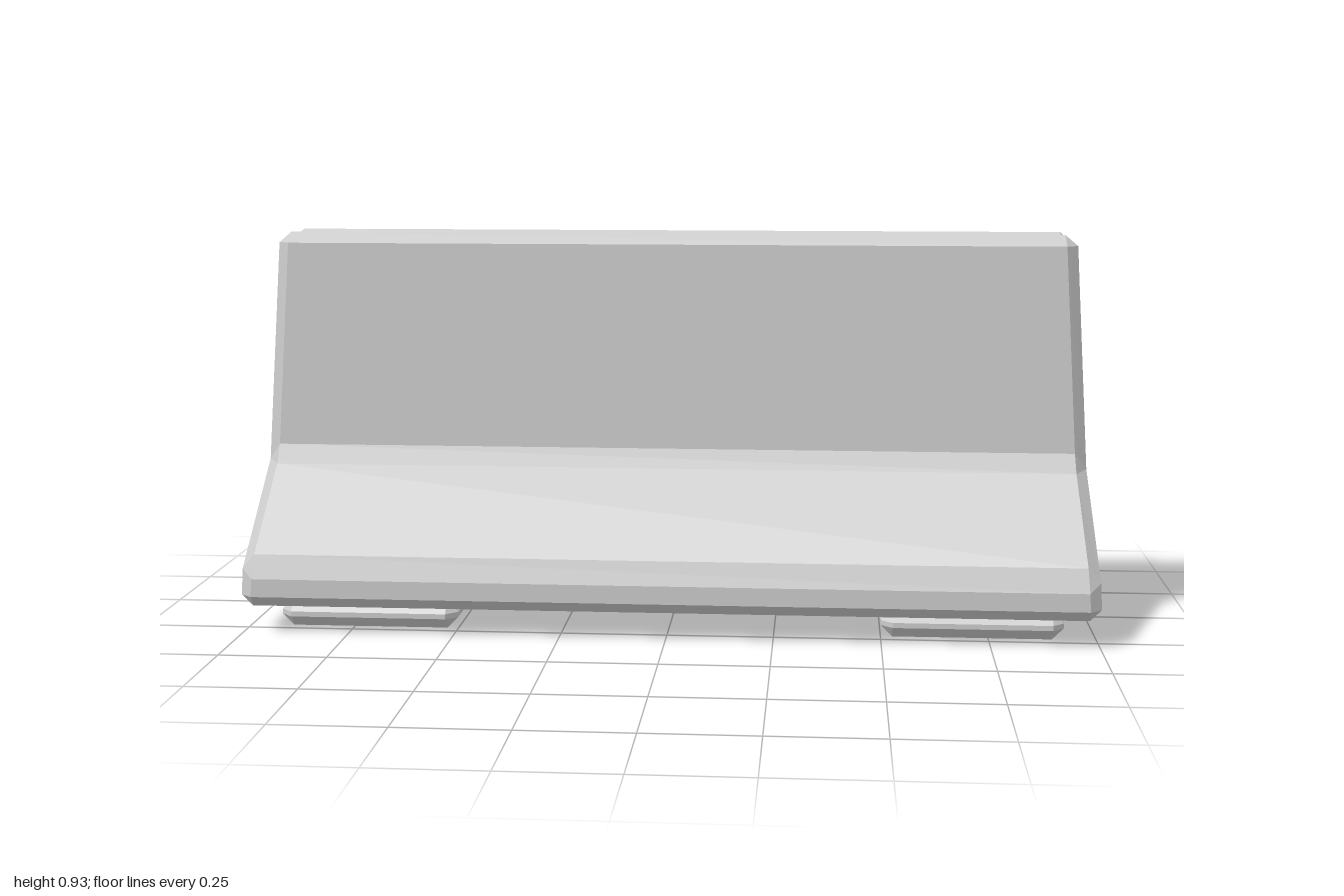
import * as THREE from 'three';

const material = new THREE.MeshStandardMaterial({ color: 0xcccccc, flatShading: true });
const v = (x, y, z) => new THREE.Vector3(x, y, z);

// Faces between matching rings (counter-clockwise seen from the last ring), with optional end caps
function loft(name, rings, caps = false) {
  const out = [];
  const tri = (a, b, c) => {
    if (new THREE.Triangle(a, b, c).getArea() < 1e-7) return;
    for (const p of [a, b, c]) out.push(p.x, p.y, p.z);
  };
  const n = rings[0].length;
  for (let r = 0; r < rings.length - 1; r++) {
    for (let i = 0; i < n; i++) {
      const j = (i + 1) % n, lo = rings[r], hi = rings[r + 1];
      tri(lo[i], lo[j], hi[j]);
      tri(lo[i], hi[j], hi[i]);
    }
  }
  if (caps) {
    const first = rings[0], last = rings[rings.length - 1];
    for (let i = 1; i < n - 1; i++) {
      tri(first[0], first[i + 1], first[i]);
      tri(last[0], last[i], last[i + 1]);
    }
  }
  const geometry = new THREE.BufferGeometry();
  geometry.setAttribute('position', new THREE.Float32BufferAttribute(out, 3));
  geometry.computeVertexNormals();
  return named(name, geometry);
}

function named(name, geometry) {
  const mesh = new THREE.Mesh(geometry, material);
  mesh.name = name;
  return mesh;
}

// Half cross-sections as [z, y], from the base up to the groove
const outer = [[0.30, 0.066], [0.325, 0.092], [0.325, 0.135], [0.305, 0.19], [0.125, 0.375],
  [0.106, 0.42], [0.087, 0.905], [0.059, 0.93], [0.032, 0.905], [0.007, 0.87]];
const inset = [[0.30, 0.092], [0.30, 0.092], [0.30, 0.155], [0.30, 0.155], [0.083, 0.38],
  [0.083, 0.38], [0.061, 0.905], [0.061, 0.905], [0.061, 0.905], [0.056, 0.845]];

const bevel = 0.028;
const endX = (y) => 1 - 0.05 * (y - 0.092) / 0.813; // sloping end plane

const mirrored = (half) => [...half.map(([z, y]) => [-z, y]), ...half.slice().reverse()];
const section = (half, side, inward) =>
  mirrored(half).map(([z, y]) => v(side * (endX(y) - inward), y, z));

// Octagonal through-hole with a square flared mouth
const holeY = 0.431, mouth = 0.065, mouthX = endX(holeY) - 0.06;
const octagon = Array.from({ length: 8 }, (_, i) => {
  const t = (i + 0.5) * Math.PI / 4;
  return [-0.039 * Math.cos(t), holeY + 0.043 * Math.sin(t)];
});
const square = octagon.map(([z, y]) => [Math.sign(z) * mouth, holeY + Math.sign(y - holeY) * mouth]);

function createEnd(name) {
  const end = new THREE.Group();
  end.name = name;
  end.add(loft('endBevel', [section(outer, 1, bevel), section(inset, 1, 0)]));

  // Flat end face with the square mouth cut out, laid on the sloping plane
  const shape = new THREE.Shape(mirrored(inset)
    .filter((p, i, all) => i === 0 || p[0] !== all[i - 1][0] || p[1] !== all[i - 1][1])
    .map(([z, y]) => new THREE.Vector2(-z, y)));
  const m = mouth;
  shape.holes.push(new THREE.Path([[-m, -m], [-m, m], [m, m], [m, -m]]
    .map(([a, b]) => new THREE.Vector2(a, holeY + b))));
  const face = new THREE.ShapeGeometry(shape);
  const pos = face.attributes.position;
  for (let i = 0; i < pos.count; i++) {
    const a = pos.getX(i), y = pos.getY(i);
    pos.setXYZ(i, endX(y), y, -a);
  }
  face.computeVertexNormals();
  end.add(named('endFace', face));

  end.add(loft('holeMouth', [
    square.map(([z, y]) => v(endX(y), y, z)),
    octagon.map(([z, y]) => v(mouthX, y, z)),
  ]));
  return end;
}

// Low pad bevelled on every edge
function createFoot(name, x) {
  const hx = 0.2125, hz = 0.247, c = 0.027;
  const ring = (y, flat) => {
    const points = [];
    for (const [sx, sz] of [[1, -1], [-1, -1], [-1, 1], [1, 1]]) {
      const alongX = v(sx * (hx - c), y, sz * (flat ? hz - c : hz));
      const alongZ = v(sx * (flat ? hx - c : hx), y, sz * (hz - c));
      points.push(...(sx * sz < 0 ? [alongZ, alongX] : [alongX, alongZ]));
    }
    return points;
  };
  const foot = loft(name, [ring(0, true), ring(c, false), ring(0.039, false), ring(0.066, true)], true);
  foot.position.x = x;
  return foot;
}

export function createModel() {
  const model = new THREE.Group();
  model.name = 'roadBarrier';

  // Long body and the tunnel through it
  model.add(loft('body', [section(outer, -1, bevel), section(outer, 1, bevel)]));
  model.add(loft('tunnel', [mouthX, -mouthX].map((x) => octagon.map(([z, y]) => v(x, y, z)))));

  // Matching ends
  const rightEnd = createEnd('rightEnd');
  rightEnd.rotation.y = Math.PI;
  model.add(createEnd('leftEnd'), rightEnd);

  // Feet
  model.add(createFoot('leftFoot', 0.7125), createFoot('rightFoot', -0.7125));
  return model;
}
